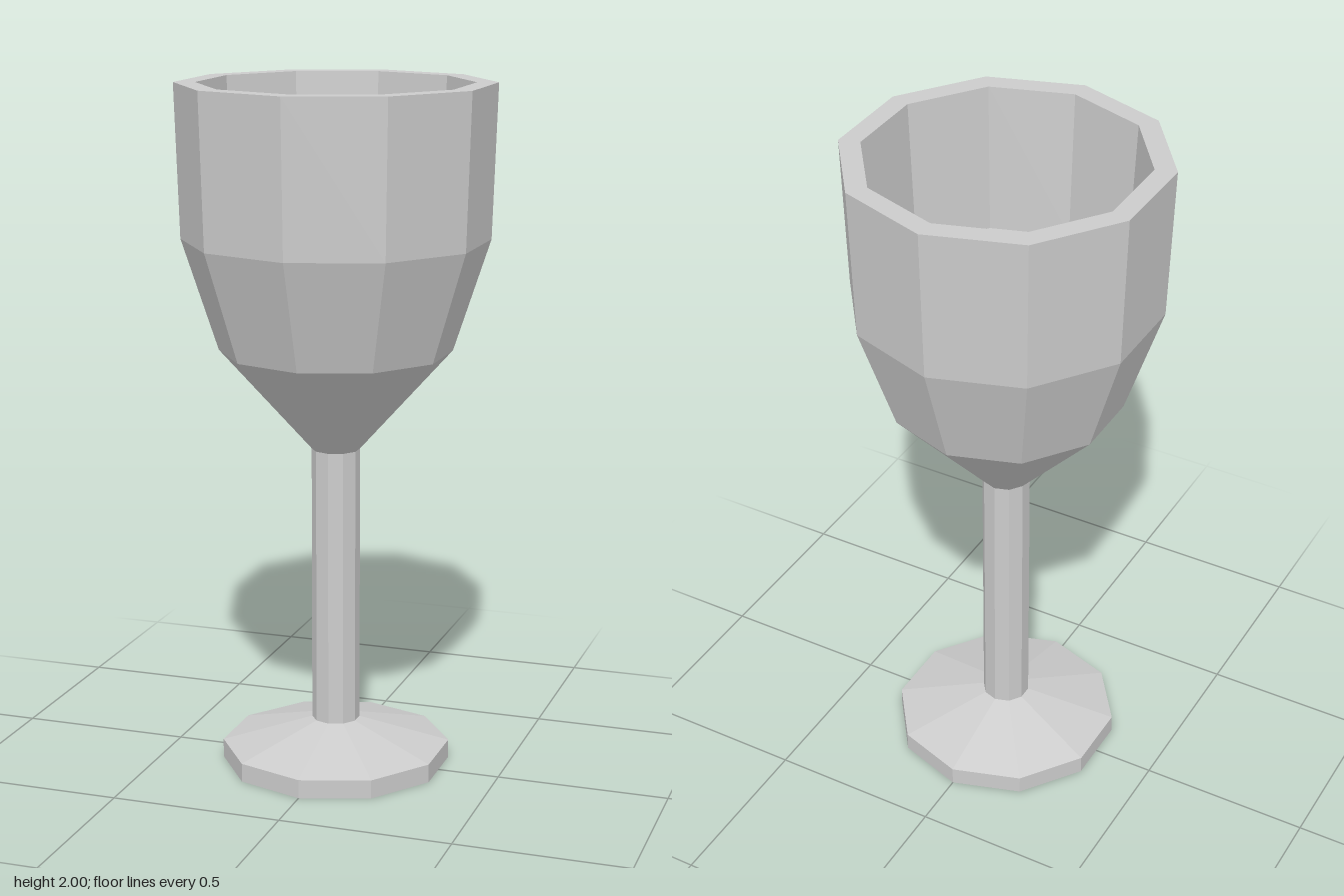
import * as THREE from 'three';

const SIDES = 10;

export function createModel() {
  const group = new THREE.Group();
  group.name = 'goblet';
  const material = new THREE.MeshStandardMaterial({ color: 0xcccccc, flatShading: true });

  // Ten-sided turned part; profile is [radius, height] pairs, outside going up
  const turned = (name, profile) => {
    const points = profile.map(([r, y]) => new THREE.Vector2(r, y));
    const mesh = new THREE.Mesh(new THREE.LatheGeometry(points, SIDES), material);
    mesh.name = name;
    group.add(mesh);
  };

  // Foot: flat underside, short rim, shallow cone up to the stem
  turned('foot', [[0, 0], [0.335, 0], [0.335, 0.055], [0.07, 0.13]]);

  // Stem: straight column
  turned('stem', [[0.07, 0.13], [0.07, 0.95]]);

  // Bowl: outer wall up, over the rim, down the inner wall to a flat floor
  turned('bowl', [
    [0.07, 0.95], [0.335, 1.24], [0.44, 1.56], [0.454, 2],
    [0.393, 2], [0.372, 1.56], [0, 1.56],
  ]);

  return group;
}
